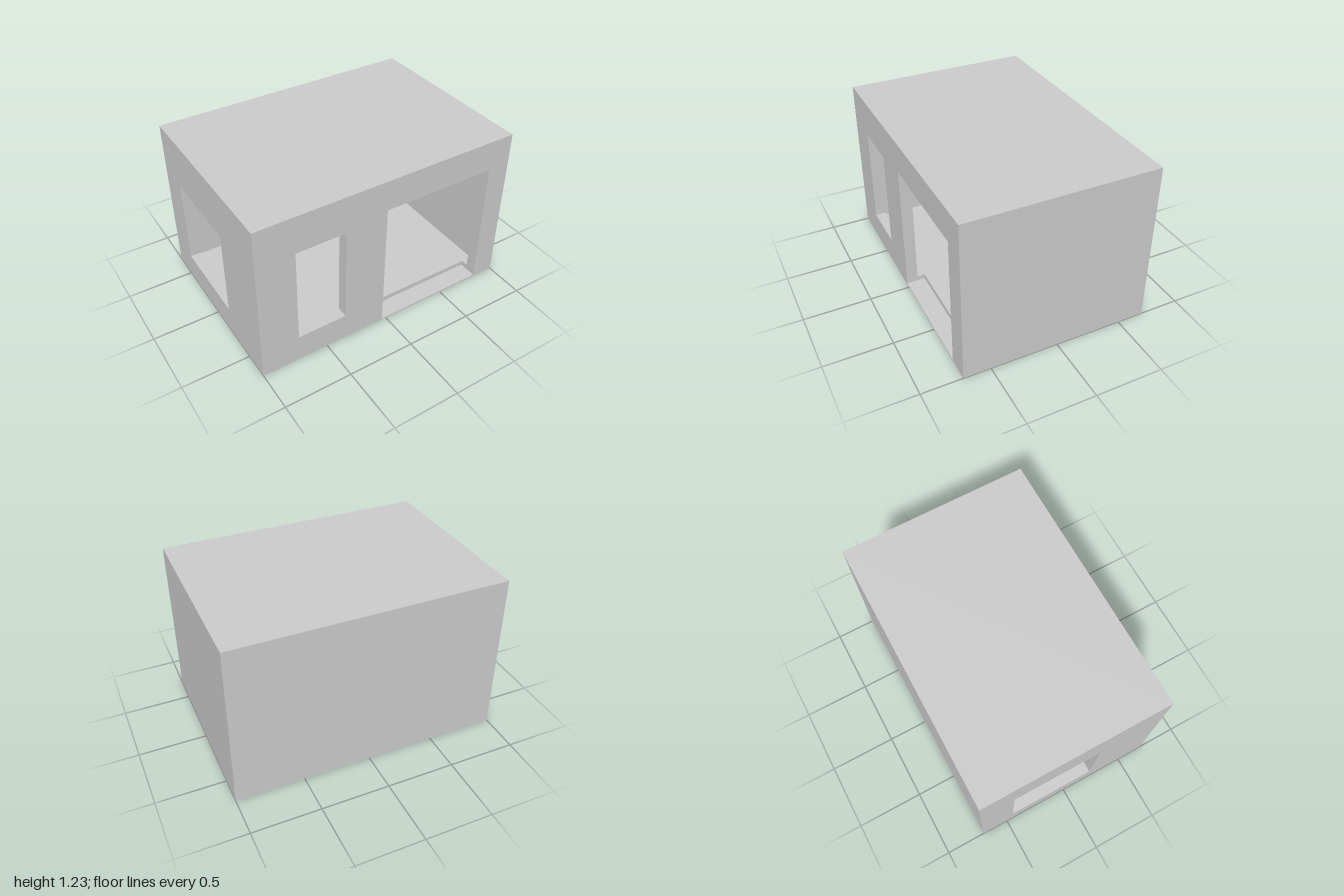
import * as THREE from 'three';
import { mergeGeometries } from 'three/addons/utils/BufferGeometryUtils.js';

const T = 0.085;                                  // wall thickness
const W = 1, D = 0.7, H = 1.225;                  // outer half width, half depth, height
const FLOOR = 0.05, SILL = 0.012, CEIL = H - T;   // inner levels
const NOTCH = 0.56;                               // z where the doorway step rises

// Facing direction -> [axis of u, axis of v, axis of normal, sign of u, sign of v, sign of normal]
const FACING = {
  '+x': [2, 1, 0, -1, 1, 1], '-x': [2, 1, 0, 1, 1, -1],
  '+y': [0, 2, 1, 1, -1, 1], '-y': [0, 2, 1, 1, 1, -1],
  '+z': [0, 1, 2, 1, 1, 1], '-z': [0, 1, 2, -1, 1, -1],
};

const rect = (u0, u1, v0, v1) => [[u0, v0], [u1, v0], [u1, v1], [u0, v1]];

// Flat panel at a given offset along its axis, outlined in world coordinates
function panel(facing, offset, outline, holes = []) {
  const [ua, va, na, su, sv, sn] = FACING[facing];
  const pts = (list) => list.map(([u, v]) => new THREE.Vector2(u * su, v * sv));
  const shape = new THREE.Shape(pts(outline));
  shape.holes = holes.map((h) => new THREE.Path(pts(h)));
  const axis = (i, s) => new THREE.Vector3().setComponent(i, s);
  const matrix = new THREE.Matrix4()
    .makeBasis(axis(ua, su), axis(va, sv), axis(na, sn))
    .setPosition(axis(na, offset));
  return new THREE.ShapeGeometry(shape).applyMatrix4(matrix);
}

// Inward-facing sides of a box given as [min, max] corners
function inside(min, max, facings) {
  return facings.map((f) => {
    const [ua, va, na, , , sn] = FACING[f];
    return panel(f, sn > 0 ? min[na] : max[na], rect(min[ua], max[ua], min[va], max[va]));
  });
}

export function createModel() {
  const model = new THREE.Group();
  model.name = 'smallBuilding';
  const material = new THREE.MeshStandardMaterial({ color: 0xcccccc, side: THREE.DoubleSide });
  const add = (name, parts) => {
    const mesh = new THREE.Mesh(mergeGeometries(parts), material);
    mesh.name = name;
    model.add(mesh);
  };

  // Openings
  const win = { x0: -0.72, x1: -0.35, y0: 0.21, y1: 0.945 };
  const door = { x0: -0.035, x1: 0.83, y0: SILL, y1: 0.995 };
  const side = { z0: -0.45, z1: 0.21, y0: 0.205, y1: 0.86 };
  const winHole = rect(win.x0, win.x1, win.y0, win.y1);
  const sideHole = rect(side.z0, side.z1, side.y0, side.y1);
  const ix = W - T, iz = D - T;

  // Front wall, with the doorway cut into the lower edge of its inner face
  add('frontWall', [
    panel('+z', D, rect(-W, W, 0, H), [winHole, rect(door.x0, door.x1, door.y0, door.y1)]),
    panel('-z', iz, [
      [-ix, FLOOR], [door.x0, FLOOR], [door.x0, door.y1], [door.x1, door.y1],
      [door.x1, FLOOR], [ix, FLOOR], [ix, CEIL], [-ix, CEIL],
    ], [winHole]),
  ]);

  // Side wall with a window, and the two plain walls
  add('windowSideWall', [
    panel('-x', -W, rect(-D, D, 0, H), [sideHole]),
    panel('+x', -ix, rect(-iz, iz, FLOOR, CEIL), [sideHole]),
  ]);
  add('plainSideWall', [
    panel('+x', W, rect(-D, D, 0, H)),
    panel('-x', ix, rect(-iz, iz, FLOOR, CEIL)),
  ]);
  add('backWall', [
    panel('-z', -D, rect(-W, W, 0, H)),
    panel('+z', -iz, rect(-ix, ix, FLOOR, CEIL)),
  ]);

  // Roof with ceiling
  add('roof', [
    panel('+y', H, rect(-W, W, -D, D)),
    panel('-y', CEIL, rect(-ix, ix, -iz, iz)),
  ]);

  // Floor, notched behind the doorway
  add('floor', [
    panel('-y', 0, rect(-W, W, -D, D)),
    panel('+y', FLOOR, [
      [-ix, -iz], [ix, -iz], [ix, iz], [door.x1, iz],
      [door.x1, NOTCH], [door.x0, NOTCH], [door.x0, iz], [-ix, iz],
    ]),
  ]);

  // Linings of the openings
  const around = ['+x', '-x', '+y', '-y'];
  add('frontWindowReveal', inside([win.x0, win.y0, iz], [win.x1, win.y1, D], around));
  add('doorReveal', inside([door.x0, door.y0, iz], [door.x1, door.y1, D], around));
  add('doorStep', inside([door.x0, SILL, NOTCH], [door.x1, FLOOR, iz], ['+x', '-x', '+y', '+z']));
  add('sideWindowReveal',
    inside([-W, side.y0, side.z0], [-ix, side.y1, side.z1], ['+y', '-y', '+z', '-z']));

  return model;
}
